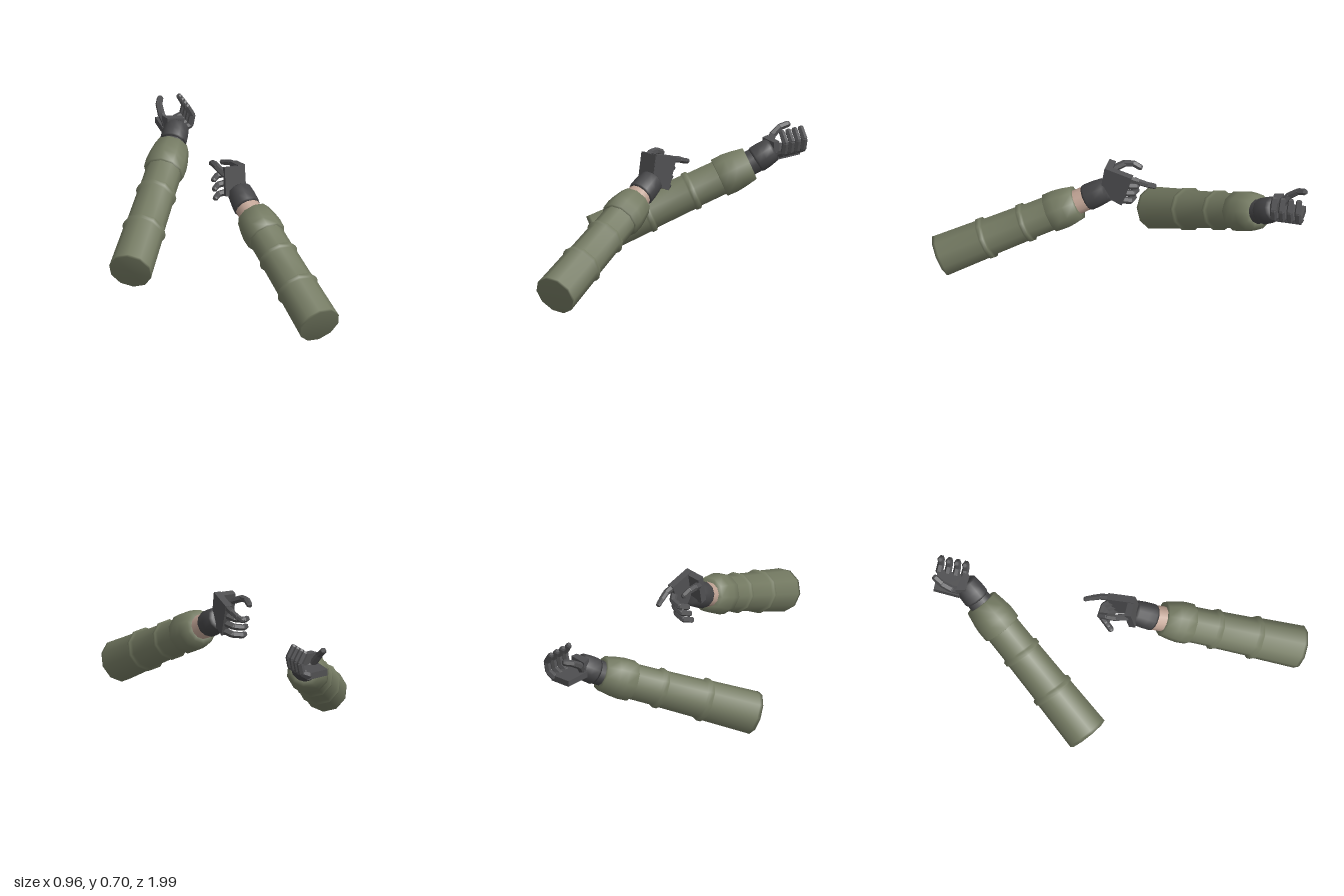
import * as THREE from 'three';
import { ConvexGeometry } from 'three/addons/geometries/ConvexGeometry.js';

const V = (p) => new THREE.Vector3(...p);

function mat(name, color) {
  const m = new THREE.MeshStandardMaterial({ color });
  m.name = name;
  return m;
}

function add(parent, name, geometry, material) {
  const mesh = new THREE.Mesh(geometry, material);
  mesh.name = name;
  parent.add(mesh);
  return mesh;
}

// Stands a mesh built along +y at point a, aimed at point b
function aim(mesh, a, b) {
  mesh.position.copy(a);
  mesh.quaternion.setFromUnitVectors(new THREE.Vector3(0, 1, 0), b.clone().sub(a).normalize());
}

function lathe(points, sides) {
  return new THREE.LatheGeometry(points.map(([r, y]) => new THREE.Vector2(r, y)), sides);
}

// Faceted finger bone with chamfered ends
function bone(parent, name, a, b, r, material) {
  const len = a.distanceTo(b), e = r * 0.55;
  const g = lathe([[0, -e], [r * 0.65, -e], [r, 0], [r * 0.95, len], [r * 0.6, len + e], [0, len + e]], 6).toNonIndexed();
  g.computeVertexNormals();
  aim(add(parent, name, g, material), a, b);
}

function finger(parent, name, path, r, material) {
  const group = new THREE.Group();
  group.name = name;
  const pts = path.map(V);
  for (let i = 0; i < pts.length - 1; i++) bone(group, 'segment' + (i + 1), pts[i], pts[i + 1], r * (1 - i * 0.06), material);
  parent.add(group);
}

// Convex block swept from an outline by an offset
function slab(parent, name, outline, offset, material) {
  const pts = outline.flatMap((p) => [V(p), V(p).add(V(offset))]);
  add(parent, name, new ConvexGeometry(pts), material);
}

// Sleeve with two folds and a cuff, the wrist and the glove gauntlet
function arm(name, base, end, gloveFrom, gloveTo, wristMat, m) {
  const group = new THREE.Group();
  group.name = name;
  const a = V(base), b = V(end), L = a.distanceTo(b);
  const sleeve = [
    [0, 0], [0.116, 0], [0.115, 0.02], [0.109, 0.31], [0.117, 0.32], [0.117, 0.345], [0.104, 0.355],
    [0.1, 0.6], [0.109, 0.61], [0.109, 0.635], [0.097, 0.645], [0.096, 0.81],
  ].map(([r, t]) => [r, t * L]);
  aim(add(group, 'sleeve', lathe(sleeve, 10), m.cloth), a, b);
  const cuff = [[0.09, 0.8], [0.109, 0.805], [0.111, 0.87], [0.106, 0.92], [0.093, 1], [0.06, 1]].map(([r, t]) => [r, t * L]);
  aim(add(group, 'cuff', lathe(cuff, 10), m.cloth), a, b);

  const g0 = V(gloveFrom), g1 = V(gloveTo), len = g0.distanceTo(g1);
  const wristStart = b.clone().lerp(a, 0.05);
  const wristLen = wristStart.distanceTo(g0) + 0.02;
  aim(add(group, 'wrist', new THREE.CylinderGeometry(0.066, 0.068, wristLen, 12).translate(0, wristLen / 2, 0), wristMat), wristStart, g0);
  const gauntlet = [[0, 0], [0.068, 0], [0.073, 0.012], [0.072, len * 0.5], [0.066, len], [0.05, len + 0.012], [0, len + 0.012]];
  aim(add(group, 'gauntlet', lathe(gauntlet, 12), m.glove), g0, g1);
  return group;
}

export function createModel() {
  const model = new THREE.Group();
  model.name = 'gloved arms';
  const m = {
    cloth: mat('olive cloth', 0x757b63),
    glove: mat('dark glove', 0x454547),
    hand: mat('grey glove', 0x505052),
    skin: mat('skin', 0xc2a596),
  };

  // Left arm, palm turned inward with the index finger extended
  const left = arm('leftArm', [0.36, 0.11, 0.95], [0.217, 0.467, 0.242], [0.2, 0.493, 0.195], [0.185, 0.55, 0.095], m.skin, m);
  model.add(left);
  slab(left, 'backOfHand', [[0.18, 0.7, 0.09], [0.18, 0.66, -0.055], [0.18, 0.485, 0], [0.18, 0.54, 0.12]], [0.038, 0, 0], m.hand);
  slab(left, 'palmHeel', [[0.105, 0.695, 0.095], [0.105, 0.685, 0.06], [0.105, 0.53, 0.085], [0.105, 0.54, 0.12]], [0.112, 0, 0], m.hand);
  finger(left, 'indexFinger', [[0.2, 0.645, -0.045], [0.198, 0.635, -0.09], [0.187, 0.618, -0.135], [0.175, 0.607, -0.17]], 0.018, m.hand);
  for (let i = 0; i < 3; i++) {
    const y = 0.6 - i * 0.047, z = -0.032 + i * 0.015;
    finger(left, 'curledFinger' + (i + 1), [
      [0.195, y, z], [0.17, y - 0.012, z - 0.035], [0.115, y - 0.022, z - 0.04], [0.085, y - 0.028, z - 0.005],
    ], 0.019, m.hand);
  }
  finger(left, 'thumb', [[0.115, 0.645, 0.07], [0.088, 0.67, 0.015], [0.083, 0.672, -0.03], [0.086, 0.655, -0.07]], 0.02, m.hand);

  // Right arm, palm up with fingers curling upward
  const right = arm('rightArm', [-0.385, 0.11, -0.02], [0.07, 0.47, -0.712], [0.084, 0.486, -0.74], [0.13, 0.54, -0.815], m.glove, m);
  model.add(right);
  slab(right, 'palm', [[0.06, 0.505, -0.97], [0.18, 0.495, -0.975], [0.18, 0.495, -0.815], [0.055, 0.505, -0.83]], [0, 0.035, 0], m.hand);
  slab(right, 'palmHeel', [[0.06, 0.51, -0.85], [0.17, 0.5, -0.835], [0.165, 0.5, -0.8], [0.075, 0.51, -0.8]], [0, 0.09, 0], m.hand);
  for (let i = 0; i < 4; i++) {
    const z = -0.832 - i * 0.045;
    finger(right, 'finger' + (i + 1), [
      [0.17, 0.518, z], [0.21, 0.535, z], [0.222, 0.59, z], [0.192, 0.645, z],
    ], 0.02, m.hand);
  }
  finger(right, 'thumb', [[0.085, 0.54, -0.84], [0.065, 0.595, -0.88], [0.068, 0.63, -0.93], [0.088, 0.645, -0.972]], 0.021, m.hand);

  return model;
}
